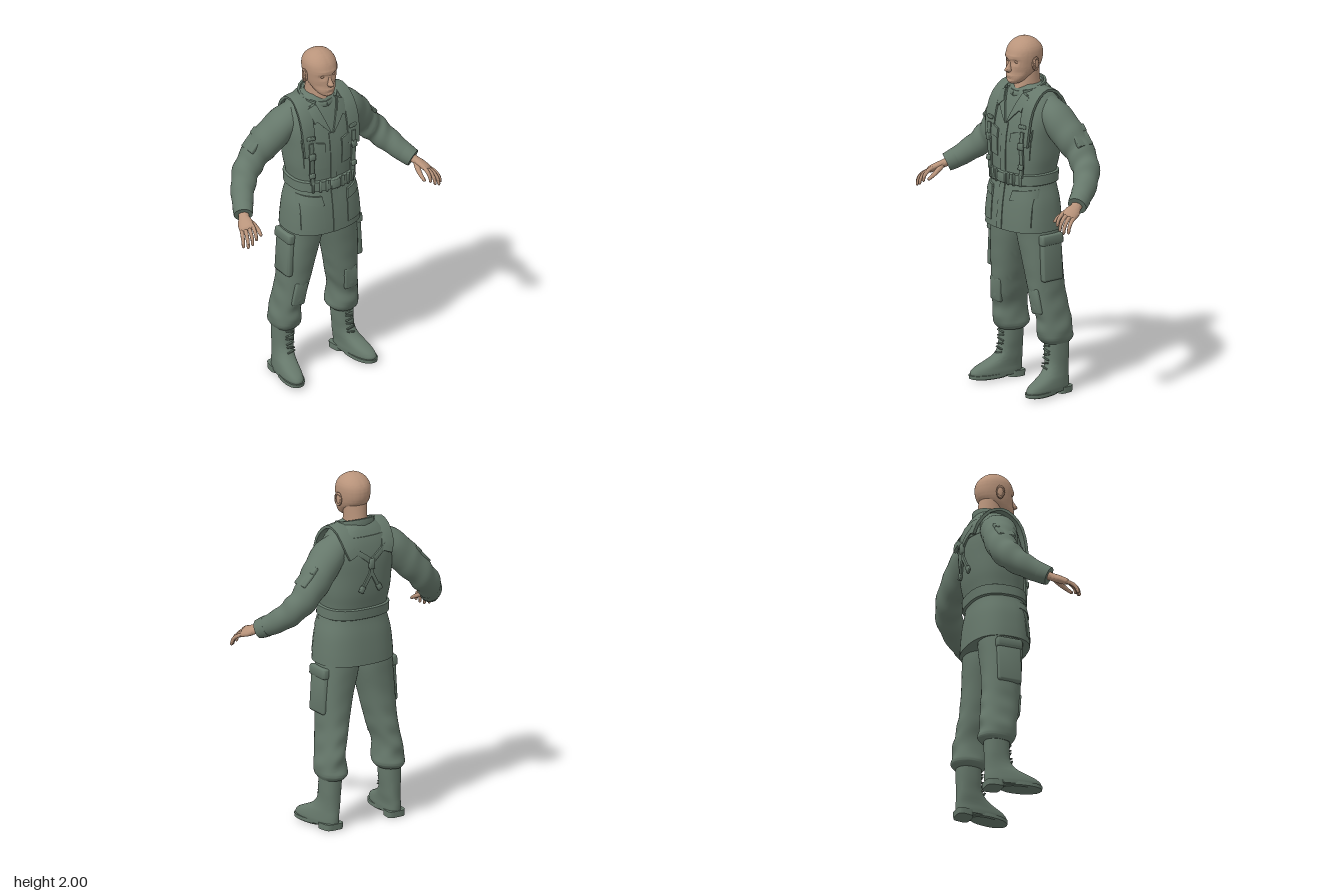
import * as THREE from 'three';
import { toCreasedNormals } from 'three/addons/utils/BufferGeometryUtils.js';
import { RoundedBoxGeometry } from 'three/addons/geometries/RoundedBoxGeometry.js';

const cloth = new THREE.MeshStandardMaterial({ color: 0x66786b });
cloth.name = 'green cloth';
const skin = new THREE.MeshStandardMaterial({ color: 0xb9947b });
skin.name = 'skin';

const V = (x, y, z) => new THREE.Vector3(x, y, z);
const spow = (c, e) => Math.sign(c) * Math.pow(Math.abs(c), e);

// Grid surface; fn(i, j) gives a point. Rings wrap and are capped when closed.
function surface(fn, nu, nv, closed, crease = 0.9) {
  const pos = [], idx = [], cols = closed ? nu : nu + 1;
  for (let j = 0; j <= nv; j++) for (let i = 0; i < cols; i++) pos.push(...fn(i, j));
  for (let j = 0; j < nv; j++) for (let i = 0; i < nu; i++) {
    const k = closed ? (i + 1) % nu : i + 1;
    const a = j * cols + i, b = j * cols + k, c = a + cols, d = b + cols;
    idx.push(a, c, b, b, c, d);
  }
  if (closed) for (const j of [0, nv]) {
    const m = [0, 0, 0], n = pos.length / 3;
    for (let i = 0; i < nu; i++) for (let k = 0; k < 3; k++) m[k] += pos[(j * nu + i) * 3 + k] / nu;
    pos.push(...m);
    for (let i = 0; i < nu; i++) {
      const a = j * nu + i, b = j * nu + (i + 1) % nu;
      j ? idx.push(a, n, b) : idx.push(a, b, n);
    }
  }
  const g = new THREE.BufferGeometry();
  g.setAttribute('position', new THREE.Float32BufferAttribute(pos, 3));
  g.setIndex(idx);
  return toCreasedNormals(g, crease);
}

// Smooth interpolation of sections [y, centreX, frontZ, backZ, halfWidth].
function sample(secs, y) {
  let i = 0;
  while (i < secs.length - 2 && y > secs[i + 1][0]) i++;
  const a = secs[i], b = secs[i + 1], p = secs[i - 1] || a, q = secs[i + 2] || b;
  const h = b[0] - a[0], t = (y - a[0]) / h, t2 = t * t, t3 = t2 * t;
  return a.map((av, k) => (2 * t3 - 3 * t2 + 1) * av + (3 * t2 - 2 * t3) * b[k]
    + (t3 - 2 * t2 + t) * h * (b[k] - p[k]) / (b[0] - p[0])
    + (t3 - t2) * h * (q[k] - a[k]) / (q[0] - a[0]));
}

// Body made of horizontal superellipse rings, listed from bottom to top.
function loft(secs, { n = 2.3, seg = 36, sub = 4, fold, warp, crease } = {}) {
  return surface((i, j) => {
    const r = Math.min(Math.floor(j / sub), secs.length - 2);
    const y = secs[r][0] + (secs[r + 1][0] - secs[r][0]) * (j - r * sub) / sub;
    const s = sample(secs, y), th = i / seg * Math.PI * 2, f = fold ? 1 + fold(th, y) : 1;
    const p = [s[1] + s[4] * f * spow(Math.cos(th), 2 / n), y,
      (s[2] + s[3]) / 2 + (s[2] - s[3]) / 2 * f * spow(Math.sin(th), 2 / n)];
    return warp ? warp(p) : p;
  }, seg, (secs.length - 1) * sub, true, crease);
}

// Tube along points with radii [across, thick]; power near 0 gives a strap.
function tube(pts, radii, across, { seg = 20, rows = 24, power = 1, fold, crease } = {}) {
  const path = new THREE.CatmullRomCurve3(pts.map(p => V(...p)));
  const rad = new THREE.CatmullRomCurve3(radii.map(r => V(r[0], r[1], 0)));
  return surface((i, j) => {
    const t = j / rows, T = path.getTangent(t), A = V(...across);
    A.addScaledVector(T, -A.dot(T)).normalize();
    const N = A.clone().cross(T), r = rad.getPoint(t), th = (i + 0.5) / seg * Math.PI * 2;
    const f = fold ? 1 + fold(th, t) : 1;
    return path.getPoint(t).addScaledVector(A, r.x * f * spow(Math.cos(th), power))
      .addScaledVector(N, r.y * f * spow(Math.sin(th), power)).toArray();
  }, seg, rows, true, crease);
}
const strap = (pts, w, t, across = [1, 0, 0]) =>
  tube(pts, [[w / 2, t / 2], [w / 2, t / 2]], across, { seg: 8, rows: 14, power: 0.12, crease: 0.5 });

function box(w, h, d, p, rot = [0, 0, 0], r = 0.006) {
  const g = new RoundedBoxGeometry(w, h, d, 2, r);
  g.applyMatrix4(new THREE.Matrix4().makeRotationFromEuler(new THREE.Euler(...rot)));
  return toCreasedNormals(g.translate(...p), 0.9);
}
function ball(r, p, s) {
  return toCreasedNormals(new THREE.SphereGeometry(r, 16, 12).scale(...s).translate(...p), 1);
}
function mirror(src) {
  const g = src.clone().scale(-1, 1, 1);
  for (const at of Object.values(g.attributes)) for (let t = 0; t < at.count; t += 3)
    for (let k = 0; k < at.itemSize; k++) {
      const v = at.getComponent(t + 1, k);
      at.setComponent(t + 1, k, at.getComponent(t + 2, k));
      at.setComponent(t + 2, k, v);
    }
  return g;
}

const JACKET = [[0.93, 0, 0.138, -0.208, 0.228], [1.0, 0, 0.135, -0.204, 0.224], [1.1, 0, 0.125, -0.195, 0.212],
  [1.2, 0, 0.108, -0.18, 0.186], [1.25, 0, 0.106, -0.186, 0.186], [1.34, 0, 0.108, -0.205, 0.2],
  [1.45, 0, 0.102, -0.215, 0.206], [1.55, 0, 0.082, -0.217, 0.214], [1.62, 0, 0.06, -0.206, 0.2],
  [1.67, 0, 0.04, -0.19, 0.17], [1.71, 0, 0.018, -0.17, 0.125], [1.735, 0, -0.01, -0.15, 0.085]];

// Point on the jacket at (x, y); side 1 is front, -1 is back.
function onJacket(x, y, side, lift) {
  const s = sample(JACKET, y), k = Math.min(Math.abs(x / s[4]), 0.99);
  const h = Math.pow(1 - Math.pow(k, 2.5), 1 / 2.5);
  return [x, y, (s[2] + s[3]) / 2 + side * ((s[2] - s[3]) / 2 * h + lift)];
}
// Thin four-cornered panel sewn on the jacket.
function panel(corners, lift = 0.007, side = 1) {
  const area = corners.reduce((s, [x, y], i) => { const [X, Y] = corners[(i + 1) % 4]; return s + x * Y - X * y; }, 0);
  const [a, b, c, d] = area * side < 0 ? corners : [...corners].reverse();
  const N = 10, f = i => THREE.MathUtils.clamp((i - 1) / (N - 2), 0, 1), mix = THREE.MathUtils.lerp;
  return surface((i, j) => {
    const u = f(i), v = f(j), rim = i === 0 || j === 0 || i === N || j === N;
    const q = [0, 1].map(k => mix(mix(a[k], b[k], u), mix(d[k], c[k], u), v));
    return onJacket(q[0], q[1], side, rim ? -0.004 : lift);
  }, N, N, false, 0.6);
}

export function createModel() {
  const model = new THREE.Group();
  model.name = 'soldierFigure';
  const add = (name, geo, mat = cloth) => {
    const m = new THREE.Mesh(geo, mat);
    m.name = name;
    model.add(m);
  };
  const pair = (name, geo, mat) => { add('left' + name, geo, mat); add('right' + name, mirror(geo), mat); };

  // Head, with sockets, brows, lips and chin pressed into the face
  const face = ([x, y, z]) => {
    const g = (a, b, sx, sy) => Math.exp(-(((Math.abs(x) - a) / sx) ** 2) - ((y - b) / sy) ** 2);
    const d = -0.013 * g(0.034, 1.872, 0.019, 0.013) + 0.006 * g(0.026, 1.896, 0.03, 0.01)
      + 0.007 * g(0, 1.788, 0.024, 0.009) - 0.004 * g(0, 1.773, 0.03, 0.006)
      + 0.005 * g(0, 1.757, 0.022, 0.012) - 0.006 * g(0.055, 1.81, 0.02, 0.02);
    return [x, y, z > -0.01 ? z + d : z];
  };
  add('head', loft([[1.745, 0, 0.058, 0.0, 0.025], [1.76, 0, 0.07, -0.03, 0.045], [1.785, 0, 0.072, -0.06, 0.062],
    [1.815, 0, 0.07, -0.11, 0.075], [1.85, 0, 0.068, -0.138, 0.084], [1.9, 0, 0.068, -0.147, 0.09],
    [1.94, 0, 0.055, -0.138, 0.086], [1.97, 0, 0.03, -0.113, 0.068], [1.988, 0, 0.002, -0.085, 0.044],
    [1.997, 0, -0.02, -0.06, 0.02], [2, 0, -0.038, -0.042, 0.003]],
  { n: 2.15, seg: 64, sub: 6, warp: face, crease: 1.5 }), skin);
  add('nose', loft([[1.812, 0, 0.084, 0.04, 0.012], [1.824, 0, 0.1, 0.04, 0.018], [1.84, 0, 0.09, 0.04, 0.013],
    [1.865, 0, 0.074, 0.04, 0.009], [1.885, 0, 0.067, 0.045, 0.008]], { n: 2, seg: 20, crease: 1.2 }), skin);
  pair('Eye', ball(0.014, [0.034, 1.871, 0.041], [1.1, 0.75, 1]), skin);
  pair('Ear', ball(0.035, [0.092, 1.857, -0.042], [0.3, 1.1, 0.65]), skin);
  pair('EarRim', toCreasedNormals(new THREE.TorusGeometry(0.026, 0.006, 8, 20).scale(0.75, 1.25, 1)
    .rotateY(Math.PI / 2 + 0.35).translate(0.099, 1.86, -0.042), 1), skin);
  add('neck', loft([[1.62, 0, 0.04, -0.15, 0.08], [1.69, 0, 0.022, -0.145, 0.068], [1.75, 0, 0.012, -0.135, 0.064],
    [1.83, 0, 0.0, -0.125, 0.066]], { n: 2 }), skin);

  // Jacket, undershirt neckline, collar and lapels
  add('jacket', loft(JACKET, { n: 2.5, seg: 48 }));
  const arc = (a, rx, rz, cz, y0, tilt) => Array.from({ length: 13 }, (_, i) => {
    const t = (i / 6 - 1) * a;
    return [rx * Math.sin(t), y0 - tilt * (1 - Math.cos(t)) / 2, cz - rz * Math.cos(t)];
  });
  add('undershirtNeckline', tube(arc(Math.PI, 0.079, 0.09, -0.058, 1.73, 0.05), [[0.02, 0.011], [0.02, 0.011]],
    [0, 1, 0], { seg: 10, rows: 40 }));
  add('collar', strap(arc(2.45, 0.105, 0.096, -0.058, 1.727, 0.055), 0.066, 0.014, [0, 1, 0]));
  pair('Lapel', panel([[0.004, 1.525], [0.085, 1.61], [0.105, 1.69], [0.066, 1.695]], 0.01));
  pair('CollarPoint', panel([[0.05, 1.64], [0.1, 1.6], [0.118, 1.68], [0.075, 1.7]], 0.015));
  add('frontPlacket', panel([[-0.022, 0.932], [0.018, 0.932], [0.018, 1.53], [-0.022, 1.53]], 0.005));
  pair('ChestPocket', panel([[0.05, 1.33], [0.165, 1.34], [0.172, 1.5], [0.06, 1.47]], 0.005));
  pair('ChestPocketFlap', panel([[0.054, 1.43], [0.172, 1.45], [0.175, 1.51], [0.055, 1.48]], 0.01));
  pair('HipPocket', panel([[0.075, 0.965], [0.195, 0.965], [0.19, 1.15], [0.08, 1.15]], 0.005));
  pair('HipPocketFlap', panel([[0.075, 1.105], [0.198, 1.125], [0.19, 1.17], [0.085, 1.16]], 0.012));
  add('backYoke', panel([[-0.165, 1.56], [0.165, 1.56], [0.12, 1.67], [-0.12, 1.67]], 0.005, -1));

  // Belt with buckle and keepers
  add('belt', loft([1.19, 1.195, 1.25, 1.255].map((y, i) => {
    const s = sample(JACKET, y), e = i % 3 ? 0.014 : 0.004;
    return [y, 0, s[2] + e, s[3] - e, s[4] + e];
  }), { n: 2.5, seg: 48, sub: 1, crease: 0.5 }));
  add('beltBuckle', box(0.06, 0.056, 0.02, [0, 1.222, 0.122]));
  for (const x of [0.052, 0.09, 0.128]) pair('BeltKeeper', box(0.016, 0.07, 0.014, onJacket(x, 1.222, 1, 0.015), [0, x * 2, 0]));

  // Load harness: padded shoulder straps, front adjusters, rear crossing
  const F = (x, y, l = 0.01) => onJacket(x, y, 1, l), B = (x, y, l = 0.008) => onJacket(x, y, -1, l);
  pair('ShoulderPad', strap([F(0.14, 1.42), F(0.145, 1.52, 0.014), F(0.145, 1.62, 0.02), [0.14, 1.69, 0.002], [0.134, 1.722, -0.06],
    [0.13, 1.7, -0.135], B(0.12, 1.62, 0.01), B(0.1, 1.57)], 0.078, 0.018, [1, -0.15, 0]));
  pair('FrontStrap', strap([F(0.14, 1.5, 0.022), F(0.138, 1.42, 0.018), F(0.134, 1.3, 0.012), F(0.13, 1.24, 0.016)], 0.026, 0.012));
  for (const [y, w, h] of [[1.53, 0.05, 0.022], [1.42, 0.038, 0.04], [1.3, 0.034, 0.03]])
    pair('StrapBuckle', box(w, h, 0.016, F(0.138, y, 0.024), [-0.1, 0.25, 0]));
  pair('BackStrap', strap([B(0.11, 1.61), B(0.05, 1.57), B(0.006, 1.535)], 0.03, 0.012, [0.4, -1, 0]));
  add('backStrapJoint', box(0.036, 0.06, 0.018, B(0, 1.52, 0.012)));
  add('backCentreStrap', strap([B(0, 1.52), B(0, 1.49), B(0, 1.46)], 0.022, 0.012));
  pair('BackLowerStrap', strap([B(0, 1.47), B(0.028, 1.42), B(0.055, 1.37)], 0.02, 0.012));
  pair('BackStrapClip', box(0.032, 0.04, 0.016, B(0.055, 1.375, 0.01), [0, 0, 0.5]));

  // Sleeves with folds gathered at the elbow, pocket and cuff
  const armFold = (th, t) => (0.025 + 0.03 * Math.exp(-(((t - 0.6) / 0.2) ** 2))) * Math.sin(t * 42 + 2.2 * Math.sin(th)) * Math.sin(t * Math.PI);
  pair('Sleeve', tube([[0.12, 1.6, -0.09], [0.2, 1.565, -0.1], [0.28, 1.48, -0.12], [0.35, 1.4, -0.14], [0.42, 1.32, -0.128],
    [0.48, 1.25, -0.075], [0.53, 1.195, 0], [0.557, 1.17, 0.042]],
  [[0.08, 0.09], [0.1, 0.088], [0.096, 0.092], [0.082, 0.082], [0.076, 0.076], [0.068, 0.066], [0.058, 0.056], [0.05, 0.046]],
  [0, 0.3, 1], { seg: 28, rows: 56, fold: armFold }));
  pair('Cuff', tube([[0.532, 1.193, 0.004], [0.545, 1.18, 0.026], [0.56, 1.167, 0.05]], [[0.06, 0.056], [0.058, 0.054], [0.054, 0.05]],
    [0, 0.3, 1], { rows: 4 }));
  pair('SleevePocket', box(0.13, 0.024, 0.1, [0.366, 1.487, -0.135], [0, 0, -0.8]));
  pair('SleevePocketFlap', box(0.045, 0.028, 0.108, [0.338, 1.52, -0.132], [0, 0, -0.8]));

  // Hands: palm, four curled fingers and a thumb
  const W = V(0.8, -0.45, -0.25).normalize(), across = W.toArray();
  pair('Palm', tube([[0.548, 1.178, 0.03], [0.566, 1.162, 0.065], [0.582, 1.148, 0.1], [0.596, 1.134, 0.14], [0.6, 1.13, 0.15]],
    [[0.03, 0.024], [0.03, 0.022], [0.042, 0.022], [0.042, 0.018], [0.034, 0.01]], across), skin);
  [0.075, 0.09, 0.088, 0.076].forEach((len, k) => {
    const o = V(0.594, 1.137, 0.135).addScaledVector(W, 0.032 - k * 0.0215);
    const step = (f, d) => o.clone().add(V(0.26 * f + (1.5 - k) * 0.1 * f, -d, 0.85 * f).multiplyScalar(len)).toArray();
    pair('Finger', tube([step(0, 0), step(0.45, 0.18), step(0.8, 0.5), step(0.92, 0.88), step(0.93, 0.95)],
      [[0.0115, 0.011], [0.011, 0.011], [0.01, 0.01], [0.008, 0.008], [0.003, 0.003]], across, { seg: 10, rows: 12 }), skin);
  });
  pair('Thumb', tube([[0.565, 1.158, 0.075], [0.545, 1.14, 0.12], [0.537, 1.118, 0.165], [0.54, 1.1, 0.195], [0.541, 1.097, 0.2]],
    [[0.018, 0.016], [0.016, 0.014], [0.012, 0.011], [0.009, 0.008], [0.003, 0.003]], [1, 0, 0], { seg: 10, rows: 12 }), skin);

  // Trousers with folds growing toward the bloused ankle
  const legFold = (th, y) => 0.055 * THREE.MathUtils.clamp((0.75 - y) / 0.35, 0.1, 1) * Math.sin(y * 52 + 2 * Math.sin(th + 0.6)) * Math.cos(1.5 * Math.sin(th * 2));
  pair('TrouserLeg', loft([[0.285, 0.19, -0.025, -0.188, 0.064], [0.31, 0.188, -0.003, -0.207, 0.081], [0.35, 0.187, 0.004, -0.204, 0.081],
    [0.42, 0.188, 0.012, -0.198, 0.071], [0.5, 0.171, 0.03, -0.188, 0.075], [0.6, 0.155, 0.042, -0.174, 0.084],
    [0.75, 0.135, 0.058, -0.166, 0.1], [0.88, 0.113, 0.07, -0.17, 0.112], [0.98, 0.105, 0.08, -0.17, 0.112]],
  { n: 2.3, sub: 6, fold: legFold }));
  pair('CargoPocket', box(0.04, 0.23, 0.14, [0.224, 0.765, -0.045], [0, 0, 0.06], 0.015));
  pair('CargoPocketFlap', box(0.044, 0.06, 0.15, [0.223, 0.885, -0.045], [0, 0, 0.1], 0.012));
  pair('KneePatch', box(0.085, 0.15, 0.03, [0.168, 0.53, 0.02], [0.12, 0, 0.12], 0.014));

  // Boots with toes turned out, soles, heels and laces
  const turn = ([x, y, z]) => [x + (z + 0.1) * 0.13 * THREE.MathUtils.clamp((0.2 - y) / 0.1, 0, 1), y, z];
  pair('Boot', loft([[0.02, 0.212, 0.13, -0.178, 0.056], [0.045, 0.212, 0.138, -0.18, 0.058], [0.07, 0.211, 0.115, -0.18, 0.056],
    [0.095, 0.208, 0.06, -0.178, 0.054], [0.12, 0.204, 0.01, -0.177, 0.052], [0.16, 0.2, -0.025, -0.177, 0.051],
    [0.22, 0.196, -0.034, -0.178, 0.055], [0.31, 0.193, -0.035, -0.18, 0.058]], { warp: turn, crease: 1.1 }));
  pair('Sole', loft([[0.008, 0.212, 0.12, -0.085, 0.052], [0.014, 0.212, 0.14, -0.09, 0.06], [0.034, 0.212, 0.143, -0.09, 0.06]],
    { sub: 1, warp: turn, crease: 0.5 }));
  pair('Heel', loft([[0, 0.212, -0.085, -0.182, 0.055], [0.035, 0.212, -0.085, -0.184, 0.056]], { n: 4, sub: 1, warp: turn, crease: 0.5 }));
  for (let i = 0; i < 6; i++) pair('Lace', box(0.05, 0.008, 0.012, [0.197, 0.15 + i * 0.024, -0.019 - 0.014 * Math.min(1, i / 3)], [0, 0, i % 2 ? 0.2 : -0.2], 0.003));

  return model;
}
